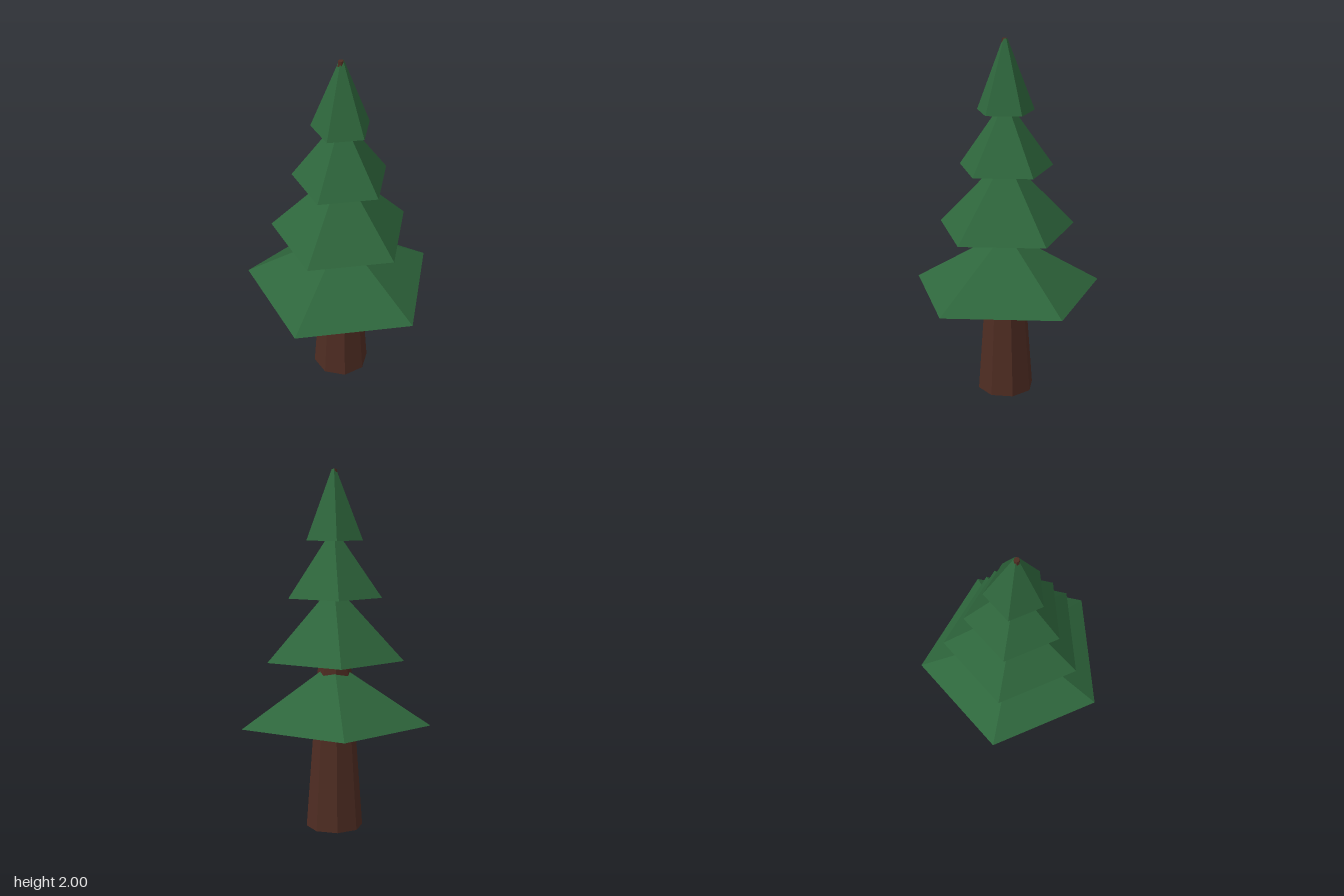
import * as THREE from 'three';

export function createModel() {
  const tree = new THREE.Group();
  tree.name = 'pineTree';
  const bark = new THREE.MeshStandardMaterial({ color: 0x4e2c22, flatShading: true });
  const needles = new THREE.MeshStandardMaterial({
    color: 0x2e663c, flatShading: true, side: THREE.DoubleSide,
  });

  // Tapering eight-sided trunk that runs to the very tip
  const trunk = new THREE.Mesh(new THREE.CylinderGeometry(0.014, 0.159, 2, 8), bark);
  trunk.name = 'trunk';
  trunk.position.set(-0.004, 1, 0.054);
  tree.add(trunk);

  // Open five-sided skirts of foliage: bottom y, bottom radius, top y, top radius
  const tiers = [
    [0.603, 0.545, 0.93, 0.02],
    [0.958, 0.394, 1.36, 0.015],
    [1.303, 0.270, 1.67, 0.012],
    [1.615, 0.163, 2.0, 0.012],
  ];
  tiers.forEach(([y0, r0, y1, r1], i) => {
    const skirt = new THREE.Mesh(
      new THREE.CylinderGeometry(r1, r0, y1 - y0, 5, 1, true, Math.PI), needles);
    skirt.name = `foliageTier${i + 1}`;
    skirt.position.set(0, (y0 + y1) / 2, 0.052);
    tree.add(skirt);
  });

  return tree;
}
